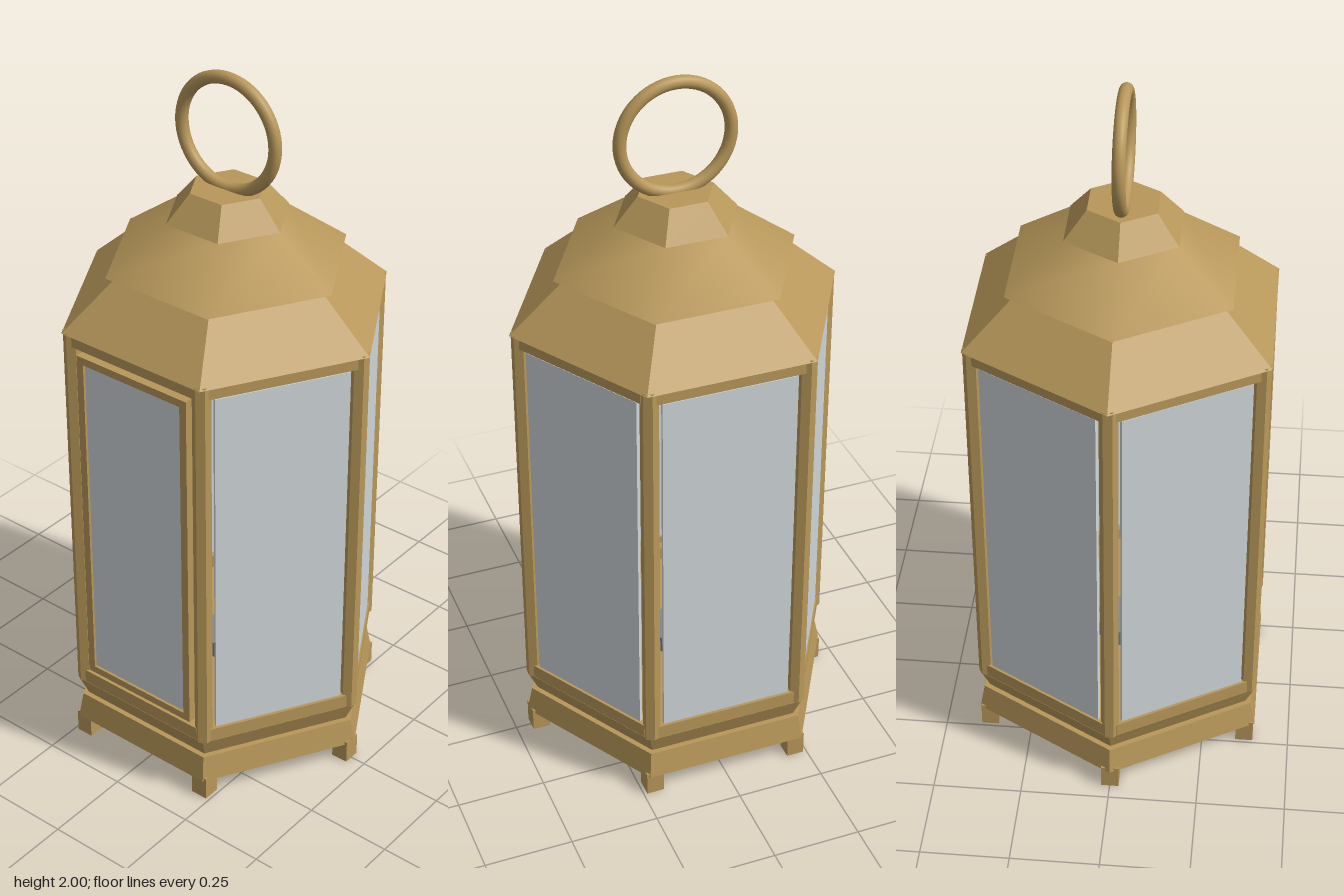
import * as THREE from 'three';

const brass = new THREE.MeshStandardMaterial({ color: 0xb8985a });
brass.name = 'brass';
const glass = new THREE.MeshStandardMaterial({ color: 0xd0d8da });
glass.name = 'glass';
const dish = new THREE.MeshStandardMaterial({ color: 0x85878a });
dish.name = 'dishMetal';

function add(parent, name, geometry, material, x = 0, y = 0, z = 0) {
  const mesh = new THREE.Mesh(geometry, material);
  mesh.name = name;
  mesh.position.set(x, y, z);
  parent.add(mesh);
  return mesh;
}

// Tapered hexagonal tier with corners on the x axis
function tier(parent, name, y0, y1, r0, r1, smooth = false) {
  let g = new THREE.CylinderGeometry(r1, r0, y1 - y0, 6, 1, false, Math.PI / 2);
  if (!smooth) {
    g = g.toNonIndexed();
    g.computeVertexNormals();
  }
  return add(parent, name, g, brass, 0, (y0 + y1) / 2, 0);
}

export function createModel() {
  const model = new THREE.Group();
  model.name = 'lantern';

  // Stepped base and roof
  tier(model, 'baseSkirt', 0.06, 0.135, 0.463, 0.447);
  tier(model, 'basePlate', 0.135, 0.195, 0.43, 0.457);
  tier(model, 'lowerRoof', 1.34, 1.48, 0.465, 0.305);
  tier(model, 'middleRoof', 1.478, 1.605, 0.34, 0.165, true);
  tier(model, 'roofCap', 1.603, 1.68, 0.172, 0.105);

  // Carrying ring
  add(model, 'carryRing', new THREE.TorusGeometry(0.1525, 0.0175, 16, 64), brass, 0, 1.83, 0);

  // Feet and corner posts
  const footGeo = new THREE.BoxGeometry(0.05, 0.07, 0.05);
  const postGeo = new THREE.CylinderGeometry(0.025, 0.025, 1.15, 6).toNonIndexed();
  postGeo.computeVertexNormals();
  for (let i = 0; i < 6; i++) {
    const a = (i * Math.PI) / 3;
    const c = Math.cos(a), s = Math.sin(a);
    add(model, 'foot', footGeo, brass, 0.43 * c, 0.035, 0.43 * s);
    add(model, 'cornerPost', postGeo, brass, 0.435 * c, 0.77, 0.435 * s);
  }

  // Six sides: rails all round, fixed panes on five, the door in front
  const railLow = new THREE.BoxGeometry(0.41, 0.04, 0.03);
  const railTop = new THREE.BoxGeometry(0.41, 0.035, 0.03);
  const pane = new THREE.BoxGeometry(0.374, 1.062, 0.01);
  for (let i = 0; i < 6; i++) {
    const side = new THREE.Group();
    side.name = i === 0 ? 'frontSide' : 'glazedSide';
    side.rotation.y = (i * Math.PI) / 3;
    add(side, 'bottomRail', railLow, brass, 0, 0.215, 0.38);
    add(side, 'topRail', railTop, brass, 0, 1.323, 0.38);
    if (i > 0) add(side, 'pane', pane, glass, 0, 0.77, 0.386);
    model.add(side);
  }

  // Framed door
  const door = new THREE.Group();
  door.name = 'door';
  const stile = new THREE.BoxGeometry(0.022, 1.04, 0.025);
  const bar = new THREE.BoxGeometry(0.33, 0.022, 0.025);
  for (const d of [-1, 1]) {
    add(door, 'doorStile', stile, brass, d * 0.174, 0.77, 0.387);
    add(door, 'doorBar', bar, brass, 0, 0.77 + d * 0.509, 0.387);
  }
  add(door, 'doorPane', new THREE.BoxGeometry(0.33, 1.0, 0.01), glass, 0, 0.77, 0.387);
  model.add(door);

  // Candle dish on the floor inside
  add(model, 'candleDish', new THREE.CylinderGeometry(0.08, 0.08, 0.05, 32), dish, 0, 0.22, 0);

  return model;
}
